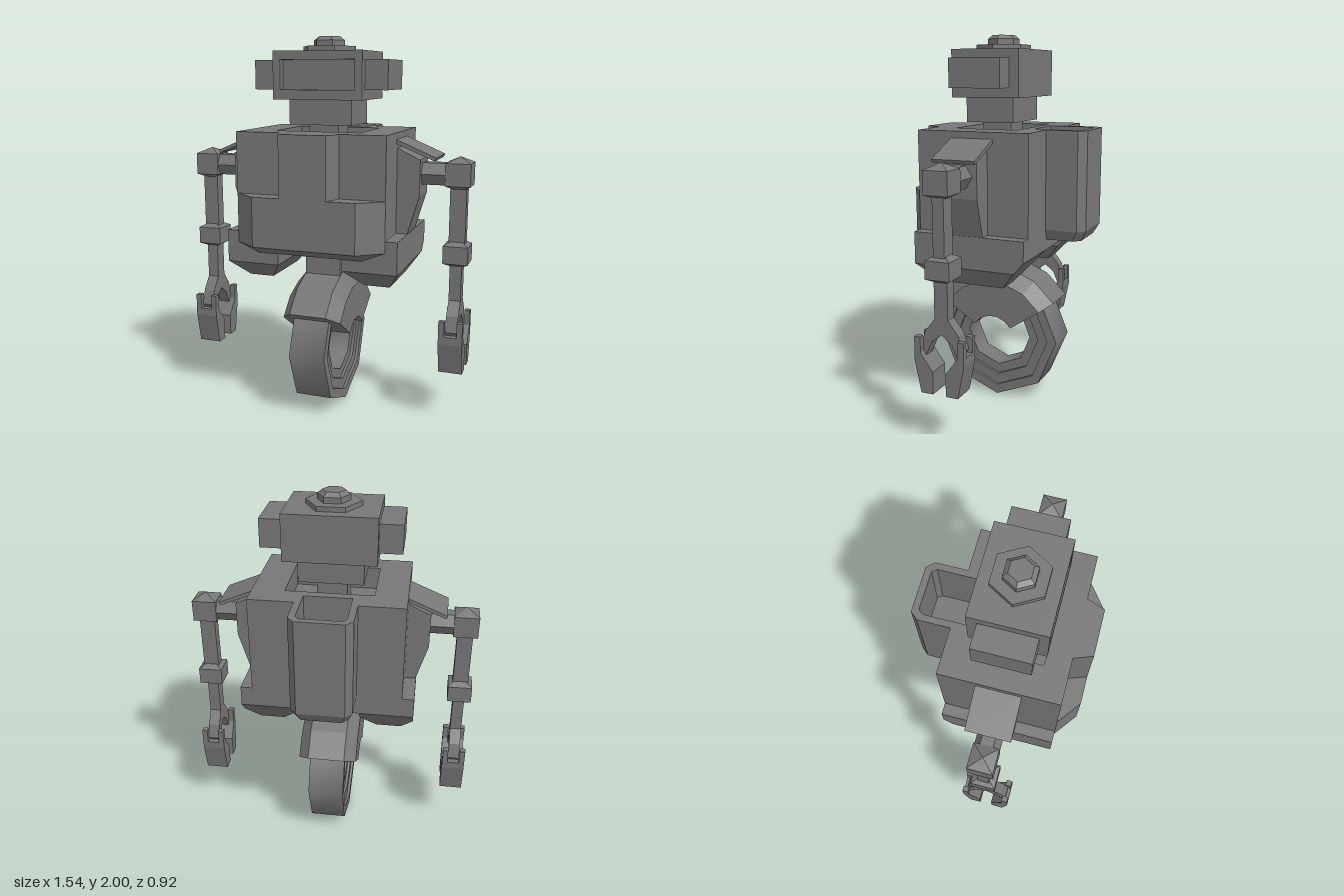
import * as THREE from 'three';
import { ConvexGeometry } from 'three/addons/geometries/ConvexGeometry.js';
import { toCreasedNormals } from 'three/addons/utils/BufferGeometryUtils.js';

const CZ = 0.06; // depth of the head, arm and wheel axis

export function createModel() {
  const root = new THREE.Group();
  const flat = new THREE.MeshStandardMaterial({ color: 0x777777, flatShading: true });
  const smooth = new THREE.MeshStandardMaterial({ color: 0x777777 });

  const add = (name, geo, parent = root, mat = flat) => {
    const mesh = new THREE.Mesh(geo, mat);
    mesh.name = name;
    parent.add(mesh);
  };
  const box = (name, x0, x1, y0, y1, z0, z1, parent) =>
    add(name, new THREE.BoxGeometry(x1 - x0, y1 - y0, z1 - z0)
      .translate((x0 + x1) / 2, (y0 + y1) / 2, (z0 + z1) / 2), parent);
  const hull = (name, pts, parent) =>
    add(name, new ConvexGeometry(pts.map(p => new THREE.Vector3(...p))), parent);
  const vectors = pts => pts.map(p => new THREE.Vector2(...p));
  const shapeOf = pts => new THREE.Shape(vectors(pts));
  const extrude = (shape, depth) => new THREE.ExtrudeGeometry(shape, { depth, bevelEnabled: false });
  const mirror = pts => [...pts, ...pts.map(([x, ...r]) => [-x, ...r]).reverse()];
  const rect = (x, y0, y1) => [[-x, y0], [x, y0], [x, y1], [-x, y1]];
  // Profile of [z, y] points extruded along x, centred on x = 0
  const sideways = (pts, width) =>
    extrude(shapeOf(pts), width).translate(0, 0, -width / 2).rotateY(-Math.PI / 2);

  // Head: box with a recessed screen, side pods and a stepped cap
  const head = new THREE.Group();
  head.name = 'head';
  root.add(head);
  box('headBox', -0.24, 0.24, 1.68, 1.925, -0.13, 0.205, head);
  const frame = shapeOf(rect(0.24, 1.68, 1.925));
  frame.holes.push(shapeOf(rect(0.2, 1.73, 1.88)));
  add('screenFrame', extrude(frame, 0.04).translate(0, 0, 0.205), head);
  for (const s of [-1, 1]) {
    box('sidePod', s * 0.3 - 0.06, s * 0.3 + 0.06, 1.73, 1.88, -0.08, 0.2, head);
  }
  const hex = (name, rTop, rBottom, y0, y1) =>
    add(name, new THREE.CylinderGeometry(rTop, rBottom, y1 - y0, 6)
      .rotateY(Math.PI / 6).translate(0, (y0 + y1) / 2, CZ - 0.005), head);
  hex('capBase', 0.145, 0.145, 1.92, 1.95);
  hex('capKnob', 0.085, 0.085, 1.95, 1.98);
  hex('capTop', 0.06, 0.085, 1.98, 2.0);
  box('neckBlock', -0.17, 0.17, 1.55, 1.68, -0.07, 0.195, head);
  box('neckPost', -0.08, 0.08, 1.38, 1.55, -0.02, 0.14, head);

  // Upper body: outline [x, -z] with a front rib, a back bin and two wells
  const upper = shapeOf(mirror([[0.125, -0.455], [0.16, -0.36], [0.4, -0.36], [0.4, 0.25],
    [0.16, 0.25], [0.16, 0.42], [0.125, 0.46]]));
  upper.holes.push(shapeOf(rect(0.23, -0.235, 0.12)));
  upper.holes.push(shapeOf(mirror([[0.125, 0.17], [0.125, 0.4], [0.105, 0.425]])));
  add('upperBody', extrude(upper, 0.32).rotateX(-Math.PI / 2).translate(0, 1.2, 0));
  box('neckWellFloor', -0.24, 0.24, 1.19, 1.4, -0.13, 0.245);

  // Lower body with chamfered front and underside
  const ring = y => mirror([[0.275, y, 0.455], [0.4, y, 0.36], [0.4, y, -0.25]]);
  hull('lowerBody', [...ring(1.2), ...ring(0.94),
    ...mirror([[0.28, 0.89, 0.36], [0.4, 0.89, -0.25]])]);

  // Lower half of the back bin
  const binRing = (y, x, z) => mirror([[x, y, -0.2], [x, y, z + 0.04], [x - 0.035, y, z]]);
  hull('binBase', [...binRing(1.2, 0.16, -0.46), ...binRing(1.0, 0.16, -0.46),
    ...binRing(0.945, 0.14, -0.43)]);

  // Hip pods, shoulder brackets and arms on both sides
  for (const s of [-1, 1]) {
    const pod = [];
    for (const x of [0.175, 0.463]) {
      for (const [y, z] of [[1, 0.36], [1, -0.25], [0.89, -0.25], [0.83, -0.1975], [0.83, 0.36]]) {
        pod.push([s * x, y, z]);
      }
    }
    for (const x of [0.26, 0.395]) pod.push([s * x, 0.73, 0.235], [s * x, 0.73, -0.11]);
    hull('hipPod', pod);

    const sideShape = pts => shapeOf(pts.map(([x, y]) => [s * x, y]));
    add('shoulderBracket', extrude(sideShape([[0.38, 1.45], [0.52, 1.385], [0.52, 1.2],
      [0.46, 1.0], [0.38, 1.0]]), 0.18).translate(0, 0, -0.03));
    add('shoulderPlate', extrude(sideShape([[0.39, 1.49], [0.605, 1.4], [0.598, 1.383],
      [0.39, 1.468]]), 0.23).translate(0, 0, -0.06));

    const arm = new THREE.Group();
    arm.name = s > 0 ? 'leftArm' : 'rightArm';
    arm.position.set(s * 0.707, 0, CZ);
    root.add(arm);
    add('axle', new THREE.CylinderGeometry(0.065, 0.065, 0.2, 6)
      .rotateZ(Math.PI / 2).translate(-s * 0.13, 1.31, 0), arm);
    // Square joints with a pyramid above and below
    for (const [name, y, h, side] of [['shoulderJoint', 1.312, 0.09, 0.058], ['elbowJoint', 0.898, 0.08, 0.046]]) {
      const r = 0.065 * Math.SQRT2;
      add(name, new THREE.LatheGeometry(vectors([[0, -h], [r, -side], [r, side], [0, h]]), 4)
        .rotateY(Math.PI / 4).translate(0, y, 0), arm);
    }
    box('upperArm', -0.042, 0.042, 0.9, 1.3, -0.03, 0.03, arm);
    // Forearm ending in a forked palm
    add('forearm', sideways(mirror([[0.036, 0.9], [0.036, 0.65], [0.09, 0.58],
      [0.115, 0.5], [0.085, 0.46], [0.055, 0.53], [0.004, 0.57]]), 0.062), arm);
    // Two fingers, each with a pair of prongs around the palm
    for (const d of [-1, 1]) {
      const flip = pts => pts.map(([z, y]) => [d * z, y]);
      add('finger', sideways(flip([[0.133, 0.48], [0.133, 0.44], [0.1, 0.275], [0.035, 0.275],
        [0.035, 0.39], [0.08, 0.45], [0.1, 0.48]]), 0.125), arm);
      for (const e of [-1, 1]) {
        add('fingerProng', sideways(flip([[0.133, 0.56], [0.1, 0.56], [0.1, 0.48],
          [0.133, 0.48]]), 0.03).translate(e * 0.0475, 0, 0), arm);
      }
    }
  }

  // Wheel post and eight-sided wheel with a stepped rim, smooth around the tread
  box('wheelPost', -0.098, 0.098, 0.66, 0.92, CZ - 0.1, CZ + 0.1);
  const rim = [[0.355, 0.098], [0.302, 0.098], [0.302, 0.082], [0.242, 0.082],
    [0.242, 0.066], [0.187, 0.066]];
  const tyre = [[0.355, -0.098], ...rim, ...rim.map(([r, y]) => [r, -y]).reverse()];
  const wheel = new THREE.LatheGeometry(vectors(tyre), 8)
    .rotateZ(Math.PI / 2).translate(0, 0.355, CZ);
  add('wheel', toCreasedNormals(wheel, 0.9), root, smooth);

  // Mudguard made of five wedges with bevelled shoulders
  const fender = new THREE.Group();
  fender.name = 'mudguard';
  fender.position.set(0, 0.355, CZ);
  root.add(fender);
  for (let i = 0; i < 5; i++) {
    const pts = [];
    for (const k of [i, i + 1]) {
      const a = THREE.MathUtils.degToRad(33.75 + 22.5 * k);
      for (const [r, x] of [[0.405, 0.1], [0.33, 0.16], [0.13, 0.16]]) {
        for (const s of [-1, 1]) pts.push([s * x, r * Math.sin(a), r * Math.cos(a)]);
      }
    }
    hull('mudguardPanel', pts, fender);
  }
  return root;
}
